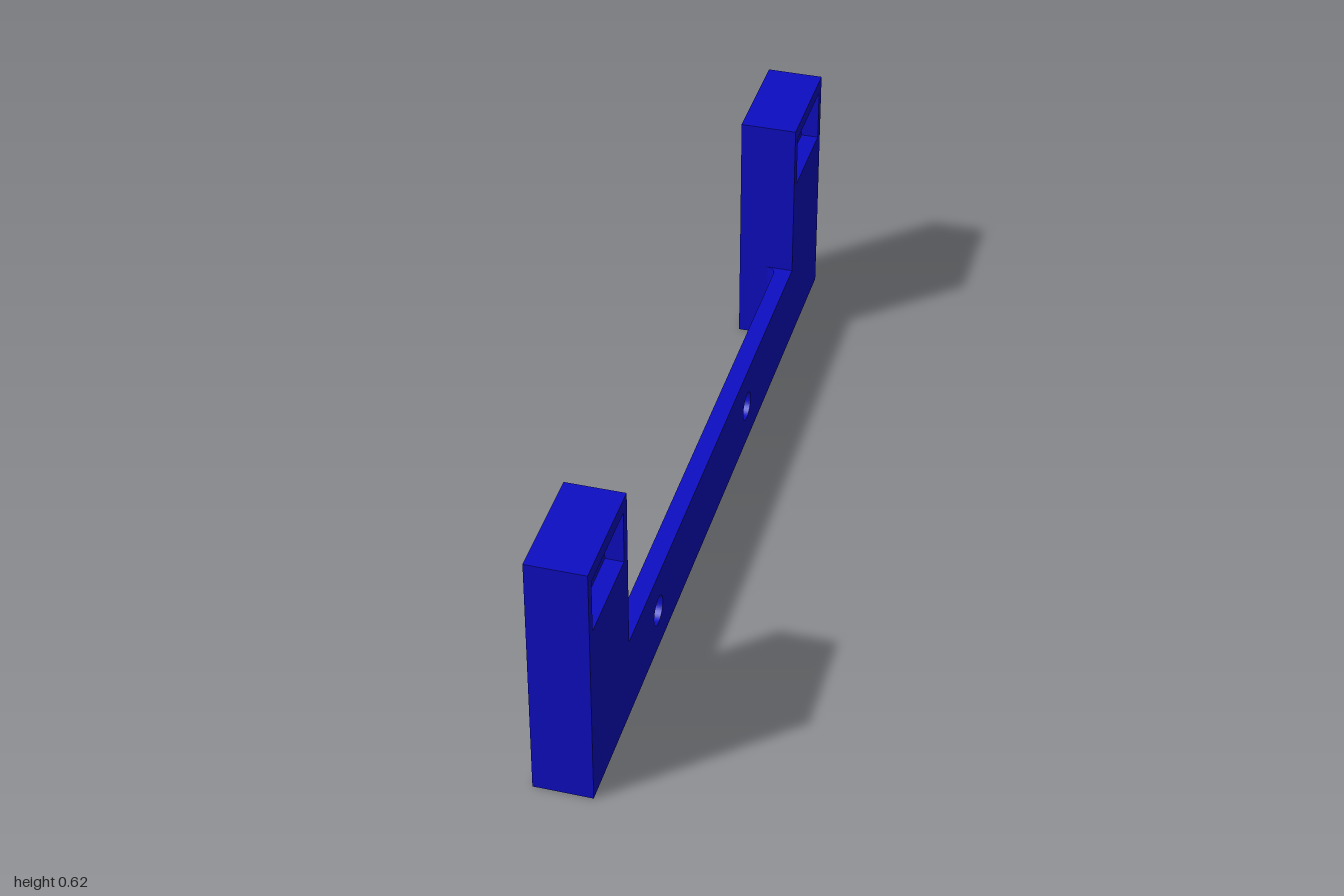
import * as THREE from 'three';

const BACK = -0.068, MID = 0.026, FRONT = 0.068; // layers along x
const BAR_H = 0.207, POST_H = 0.616, INNER = 0.727, POST_Z = 0.865;
const material = new THREE.MeshStandardMaterial({ color: 0x0d0dc4 });

// Profiles lie in (u, v) = (-z, y)
function outline(points) {
  return new THREE.Shape(points.map(([u, v]) => new THREE.Vector2(u, v)));
}
function rect(u0, u1, v0, v1) {
  return outline([[u0, v0], [u1, v0], [u1, v1], [u0, v1]]);
}
function circle(u, v, r) {
  return new THREE.Path().absarc(u, v, r, 0, Math.PI * 2, true);
}

// Extrude a profile along x, keeping only the chosen outside surfaces
function slab(name, shape, x0, x1, keep) {
  const full = new THREE.ExtrudeGeometry(shape, { depth: x1 - x0, bevelEnabled: false, curveSegments: 32 });
  const p = full.attributes.position.array, n = full.attributes.normal.array;
  const kept = [];
  for (let i = 0; i < p.length; i += 9) {
    const side = n[i + 2] > 0.5 ? 'front' : n[i + 2] < -0.5 ? 'back' : 'walls';
    if (keep.includes(side)) kept.push(...p.slice(i, i + 9));
  }
  const geometry = new THREE.BufferGeometry();
  geometry.setAttribute('position', new THREE.Float32BufferAttribute(kept, 3));
  geometry.translate(0, 0, x0).rotateY(Math.PI / 2);
  geometry.computeVertexNormals();
  const mesh = new THREE.Mesh(geometry, material);
  mesh.name = name;
  return mesh;
}

export function createModel() {
  const group = new THREE.Group();
  group.name = 'mountingBracket';
  const boltHoles = () => [-0.5, 0.28].map(u => circle(u, 0.105, 0.035));
  const pocket = s => rect(s * POST_Z - 0.112, s * POST_Z + 0.112, 0.452, 0.582);
  const screwHole = s => circle(s * POST_Z, 0.517, 0.022);

  // U-shaped face plate with pocket openings and bolt holes
  const plate = outline([[-1, 0], [1, 0], [1, POST_H], [INNER, POST_H], [INNER, BAR_H],
    [-INNER, BAR_H], [-INNER, POST_H], [-1, POST_H]]);
  plate.holes.push(...boltHoles(), pocket(-1), pocket(1));
  group.add(slab('facePlate', plate, MID, FRONT, ['front', 'walls']));

  // Rear face of the crossbar
  const bar = rect(-INNER, INNER, 0, BAR_H);
  bar.holes.push(...boltHoles());
  group.add(slab('crossbarBack', bar, MID, FRONT, ['back']));

  for (const s of [-1, 1]) {
    // Thick rear block of each post, drilled through
    const post = s > 0 ? rect(INNER, 1, 0, POST_H) : rect(-1, -INNER, 0, POST_H);
    post.holes.push(screwHole(s));
    group.add(slab('postBlock', post, BACK, MID, ['back', 'walls']));

    // Recessed pocket floor
    const floor = pocket(s);
    floor.holes.push(screwHole(s));
    group.add(slab('pocketFloor', floor, BACK, MID, ['front']));

    // Concave fillet between post and crossbar
    const r = 0.025, shape = new THREE.Shape();
    shape.moveTo(MID, s * INNER);
    shape.lineTo(MID - r, s * INNER);
    shape.absarc(MID - r, s * (INNER - r), r, s * Math.PI / 2, 0, s > 0);
    shape.closePath();
    const fillet = new THREE.Mesh(
      new THREE.ExtrudeGeometry(shape, { depth: BAR_H, bevelEnabled: false, curveSegments: 10 }).rotateX(-Math.PI / 2),
      material);
    fillet.name = 'fillet';
    group.add(fillet);
  }
  return group;
}
